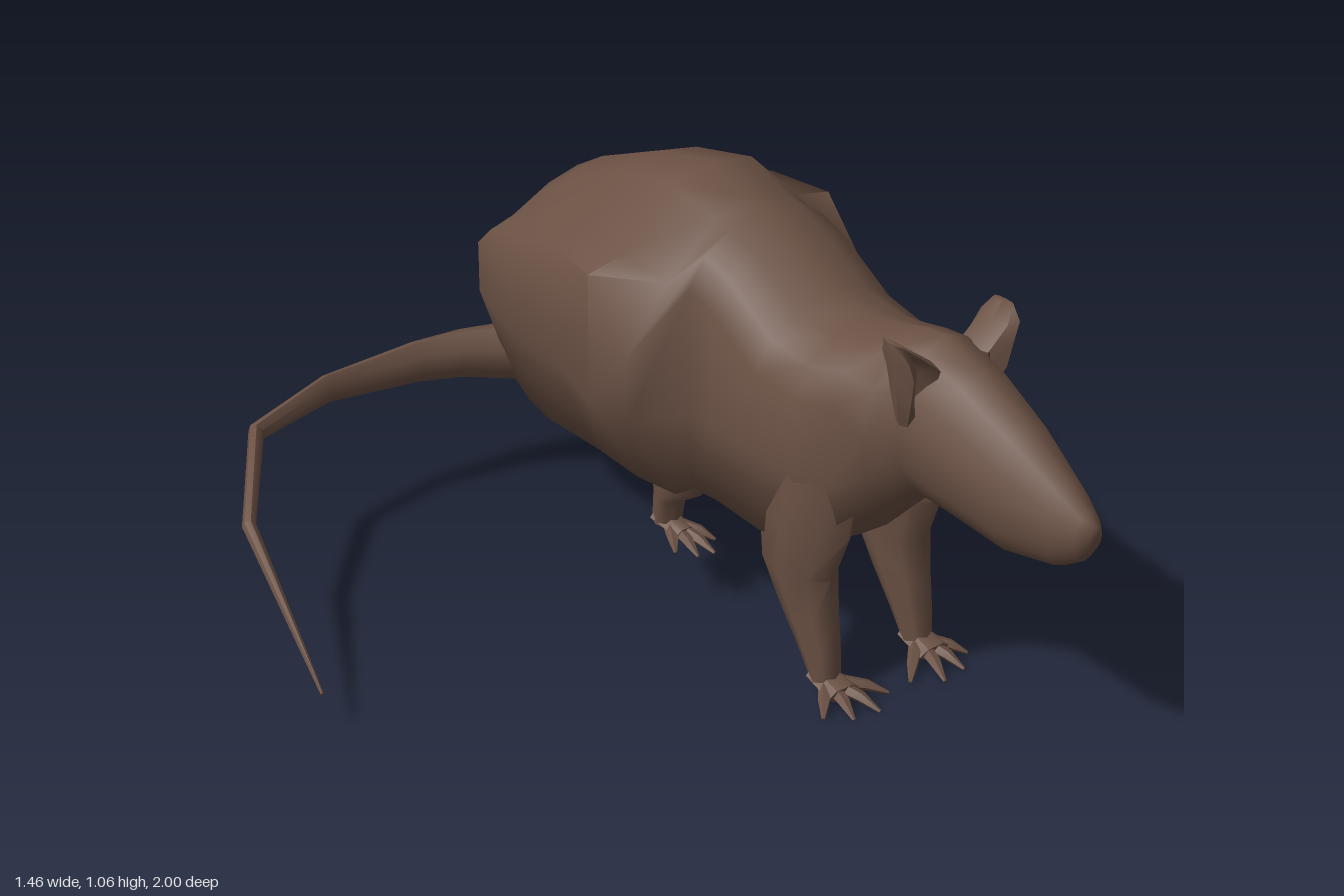
import * as THREE from 'three';
import { toCreasedNormals } from 'three/addons/utils/BufferGeometryUtils.js';

const fur = new THREE.MeshStandardMaterial({ color: 0x6b5144 });
fur.name = 'brownFur';
const MID = 0.382; // x of the animal's own centre line

// Skin a list of rings (arrays of [x, y, z]) and close both ends
function loft(rings, crease = 0.9) {
  const n = rings[0].length, pos = rings.flat(2), idx = [];
  for (let i = 0; i < rings.length - 1; i++) {
    for (let j = 0; j < n; j++) {
      const a = i * n + j, b = i * n + (j + 1) % n;
      idx.push(a, b, a + n, b, b + n, a + n);
    }
  }
  [0, rings.length - 1].forEach((i, end) => {
    const c = pos.length / 3;
    for (let k = 0; k < 3; k++) pos.push(rings[i].reduce((s, p) => s + p[k], 0) / n);
    for (let j = 0; j < n; j++) {
      const a = i * n + j, b = i * n + (j + 1) % n;
      end ? idx.push(a, b, c) : idx.push(b, a, c);
    }
  });
  // turn the faces outward if the signed volume is negative
  const v = i => new THREE.Vector3().fromArray(pos, i * 3);
  let volume = 0;
  for (let i = 0; i < idx.length; i += 3) volume += v(idx[i]).dot(v(idx[i + 1]).cross(v(idx[i + 2])));
  if (volume < 0) idx.reverse();
  const g = new THREE.BufferGeometry();
  g.setAttribute('position', new THREE.Float32BufferAttribute(pos, 3));
  g.setIndex(idx);
  return toCreasedNormals(g, crease);
}

function add(group, name, geometry) {
  const m = new THREE.Mesh(geometry, fur);
  m.name = name;
  group.add(m);
}

// Horizontal ellipse [x, y, z, rx, rz]; dent hollows its front
function flatRing([x, y, z, rx, rz], side, dent = 0) {
  return Array.from({ length: 8 }, (_, i) => {
    const a = i / 4 * Math.PI, s = Math.sin(a);
    return [MID + side * (x + rx * Math.cos(a)), y, z + rz * s - (s > 0.9 ? dent : 0)];
  });
}

// Upright cross-section from a half outline of [dx, y], top to bottom
function bodyRing(z, half, cx, rightScale = 1) {
  const other = half.slice(1, -1).reverse().map(([x, y]) => [cx - x * rightScale, y, z]);
  return [...half.map(([x, y]) => [cx + x, y, z]), ...other];
}

// Rounded cross-section for the head and neck
function eggRing([z, bottom, top, hw]) {
  const half = Array.from({ length: 7 }, (_, i) => {
    const a = i / 6 * Math.PI;
    return [hw * Math.sin(a), (top + bottom) / 2 + (top - bottom) / 2 * Math.cos(a)];
  });
  return bodyRing(z, half, 0.384);
}

// Boxier cross-section for the chest
function chestRing([z, bottom, top, hw]) {
  return bodyRing(z, [[0, top], [hw * 0.45, top - 0.025], [hw * 0.8, top - 0.07], [hw, top - 0.14],
    [hw, 0.57], [hw * 0.9, bottom + 0.04], [0, bottom]], 0.38);
}

// Haunch cross-section: rounded back, ledge at height `ledge`, flat flank, narrow belly
function haunchRing([z, bottom, top, hw, ledge, rightScale]) {
  return bodyRing(z, [[0, top], [hw * 0.33, top - 0.022], [hw * 0.73, ledge + 0.02], [hw, ledge],
    [hw, Math.min(0.57, ledge - 0.05)], [hw * 0.6, bottom + 0.02], [0, bottom]], 0.372, rightScale);
}

// Tapered limb along points [x, y, z, radiusAcross, radiusUp]
function taper(points, n = 6) {
  const p = points.map(q => new THREE.Vector3(q[0], q[1], q[2]));
  return loft(p.map((c, i) => {
    const t = p[Math.min(i + 1, p.length - 1)].clone().sub(p[Math.max(i - 1, 0)]).normalize();
    const u = new THREE.Vector3(-t.z, 0, t.x).normalize();
    const w = new THREE.Vector3().crossVectors(t, u);
    return Array.from({ length: n }, (_, j) => {
      const a = j / n * Math.PI * 2;
      return c.clone().addScaledVector(u, points[i][3] * Math.cos(a))
        .addScaledVector(w, points[i][4] * Math.sin(a)).toArray();
    });
  }));
}

// Paw with four toes; spread fans them out
function addPaw(group, name, side, x, y, z, spread) {
  const paw = new THREE.Group();
  paw.name = name;
  add(paw, 'palm', taper([[MID + side * x, y + 0.045, z - 0.03, 0.035, 0.028],
    [MID + side * x, y + 0.03, z + 0.06, 0.045 * spread, 0.018]]));
  [[0.08, 0.085], [0.028, 0.13], [-0.04, 0.14], [-0.105, 0.095]].forEach(([dx, dz]) => {
    const at = (f, h, r) => [MID + side * (x + dx * f * spread), y + h, z + dz * f, r, r];
    add(paw, 'toe', taper([at(0.15, 0.034, 0.018), at(0.65, 0.026, 0.014), at(1, 0.008, 0.004)], 5));
  });
  group.add(paw);
}

export function createModel() {
  const model = new THREE.Group();
  model.name = 'rodent';

  // Snout, head, chest and wide haunches in one smooth skin
  const head = [
    [1.0, 0.65, 0.705, 0.018], [0.975, 0.61, 0.725, 0.04], [0.92, 0.572, 0.765, 0.065],
    [0.79, 0.545, 0.845, 0.1], [0.65, 0.56, 0.91, 0.122], [0.53, 0.565, 0.948, 0.13],
    [0.45, 0.49, 0.935, 0.155],
  ].map(eggRing);
  const chest = [
    [0.38, 0.41, 0.915, 0.18], [0.29, 0.34, 0.895, 0.203], [0.17, 0.325, 0.91, 0.212],
    [0.02, 0.33, 0.995, 0.212], [-0.06, 0.325, 1.02, 0.216],
  ].map(chestRing);
  const haunchFront = bodyRing(-0.1, [[0, 1.03], [0.1, 1.01], [0.235, 0.89], [0.35, 0.74],
    [0.35, 0.57], [0.21, 0.34], [0, 0.32]], 0.372);
  const haunch = [
    [-0.24, 0.3, 1.068, 0.35, 0.89, 1], [-0.44, 0.275, 1.02, 0.348, 0.87, 0.86],
    [-0.65, 0.255, 0.93, 0.325, 0.81, 0.85], [-0.75, 0.26, 0.87, 0.27, 0.775, 0.95],
    [-0.84, 0.285, 0.75, 0.21, 0.7, 1.1], [-0.92, 0.4, 0.675, 0.165, 0.635, 0.95],
    [-0.95, 0.48, 0.605, 0.12, 0.585, 1],
  ].map(haunchRing);
  add(model, 'body', loft([...head, ...chest, haunchFront, ...haunch], 1.4));

  // Tail sweeping round to the right and forward
  add(model, 'tail', taper([
    [0.42, 0.36, -0.76, 0.08, 0.085], [0.27, 0.362, -0.85, 0.07, 0.078], [0.13, 0.373, -0.91, 0.047, 0.064],
    [0.02, 0.37, -0.946, 0.036, 0.055], [-0.22, 0.362, -0.977, 0.021, 0.038],
    [-0.45, 0.34, -0.93, 0.02, 0.026], [-0.63, 0.272, -0.675, 0.017, 0.018], [-0.73, 0.092, -0.225, 0.004, 0.004],
  ], 7));

  for (const side of [1, -1]) {
    const label = side > 0 ? 'left' : 'right';

    // Cupped ear
    add(model, label + 'Ear', loft([
      [0.1, 0.78, 0.54, 0.03, 0.025], [0.106, 0.85, 0.55, 0.043, 0.045], [0.104, 0.91, 0.55, 0.052, 0.06],
      [0.138, 0.955, 0.55, 0.026, 0.058], [0.157, 0.985, 0.54, 0.007, 0.03],
    ].map((r, i) => flatRing(r, side, 0.05 * Math.sin(i / 4 * Math.PI))), 0.7));

    // Front leg and paw
    add(model, label + 'FrontLeg', loft([
      [0.125, 0.66, 0.28, 0.075, 0.15], [0.135, 0.43, 0.265, 0.078, 0.14], [0.138, 0.3, 0.248, 0.068, 0.106],
      [0.138, 0.2, 0.283, 0.055, 0.082], [0.138, 0.1, 0.325, 0.042, 0.055], [0.138, 0.035, 0.348, 0.036, 0.034],
    ].map(r => flatRing(r, side)), 1.2));
    addPaw(model, label + 'FrontPaw', side, 0.138, 0, 0.35, 1);

    // Hind leg and paw
    add(model, label + 'HindLeg', loft([
      [0.13, 0.4, -0.18, 0.07, 0.12], [0.135, 0.3, -0.19, 0.05, 0.08], [0.138, 0.25, -0.225, 0.036, 0.042],
      [0.138, 0.175, -0.235, 0.034, 0.036],
    ].map(r => flatRing(r, side)), 1.2));
    addPaw(model, label + 'HindPaw', side, 0.138, 0.14, -0.225, 0.6);
  }
  return model;
}
